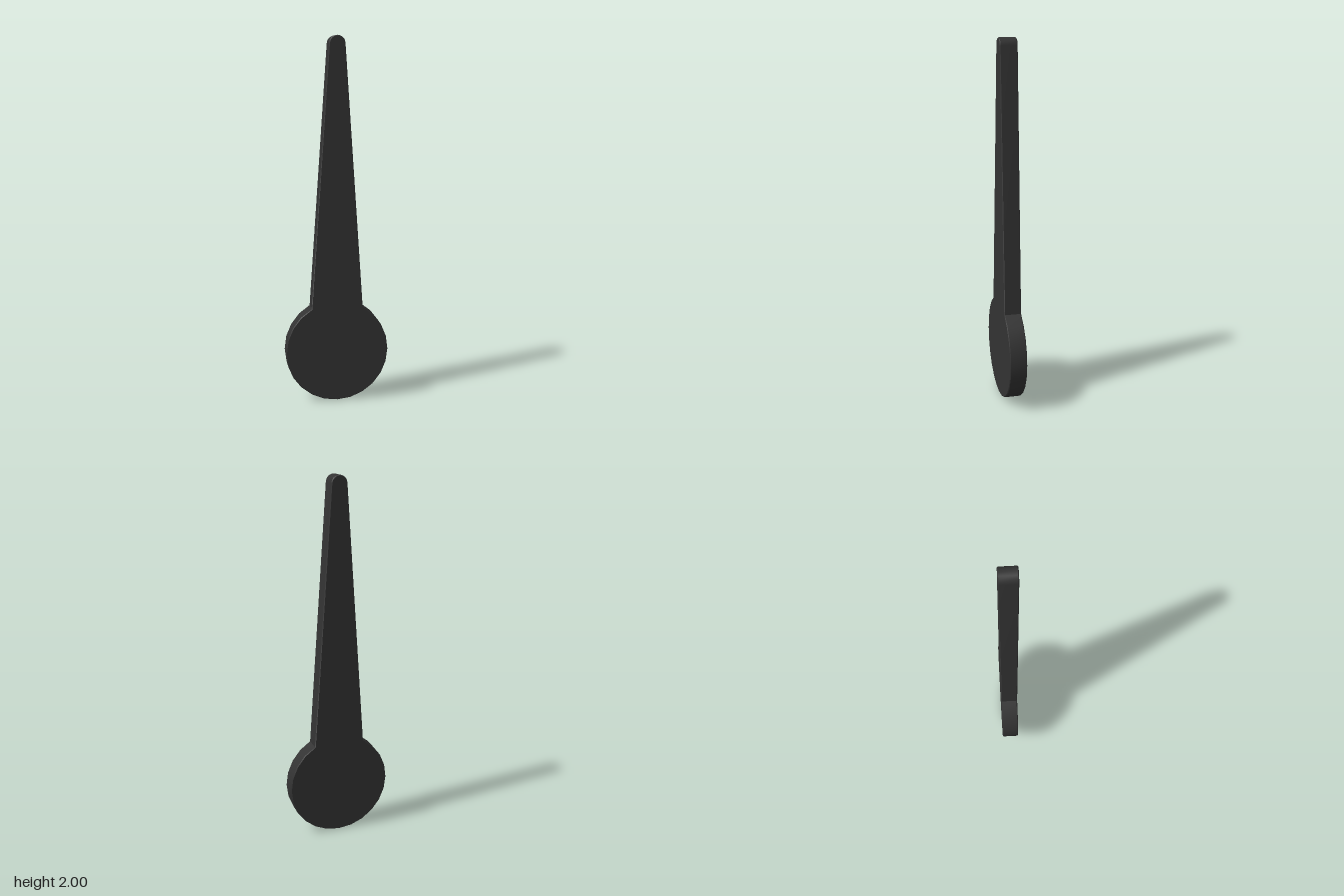
import * as THREE from 'three';
import { toCreasedNormals } from 'three/addons/utils/BufferGeometryUtils.js';

export function createModel() {
  const group = new THREE.Group();
  group.name = 'pointer';

  const radius = 0.285, depth = 0.094, bevel = 0.004;
  const points = [];

  // Round hub: arc from the right shoulder, under the bottom, to the left shoulder
  for (let i = 0; i <= 20; i++) {
    const a = THREE.MathUtils.degToRad(60 - i * 15);
    points.push(new THREE.Vector2(Math.cos(a) * radius, radius + Math.sin(a) * radius));
  }

  // Tapered blade ending in a small rounded tip
  for (let i = 0; i <= 8; i++) {
    const a = Math.PI * (1 - i / 8);
    points.push(new THREE.Vector2(Math.cos(a) * 0.043, 1.96 + Math.sin(a) * 0.04));
  }

  // Flat plate with finely eased edges
  const plate = new THREE.ExtrudeGeometry(new THREE.Shape(points), {
    depth: depth - 2 * bevel,
    bevelEnabled: true,
    bevelThickness: bevel,
    bevelSize: bevel,
    bevelOffset: -bevel,
    bevelSegments: 1,
  });
  plate.translate(0, 0, bevel - depth / 2);

  const hand = new THREE.Mesh(
    toCreasedNormals(plate, 0.6),
    new THREE.MeshStandardMaterial({ color: 0x333333 })
  );
  hand.name = 'pointerHand';
  group.add(hand);
  return group;
}
